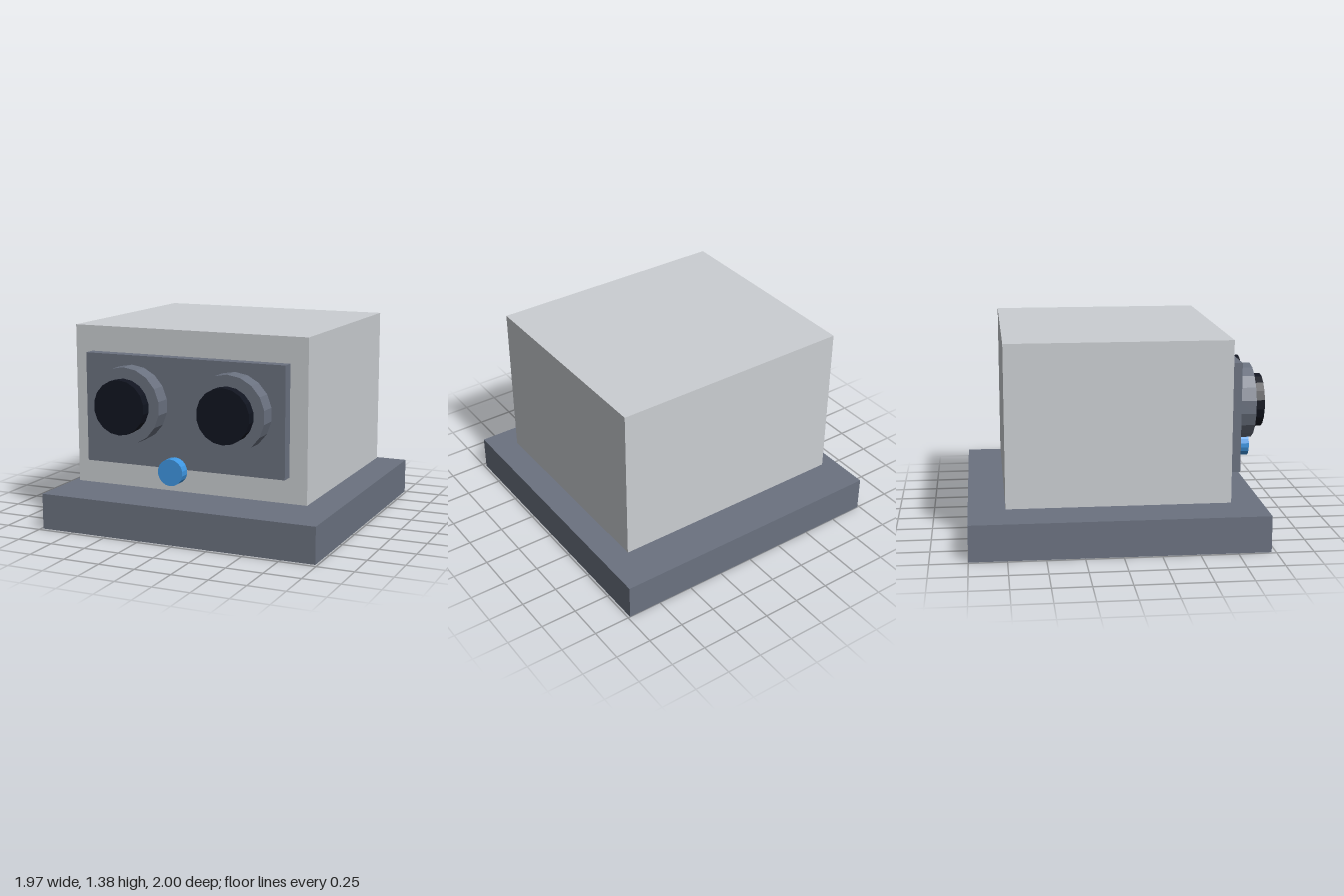
import * as THREE from 'three';

const paint = (color) => new THREE.MeshStandardMaterial({ color, flatShading: true });

export function createModel() {
  const model = new THREE.Group();
  model.name = 'binocularUnit';

  const slate = paint(0x6b7280);
  const shell = paint(0xcbced2);
  const glass = paint(0x111520);
  const blue = paint(0x3f98e4);

  // Box given by its half width and its y and z ranges
  function box(name, halfWidth, [y0, y1], [z0, z1], material) {
    const mesh = new THREE.Mesh(new THREE.BoxGeometry(halfWidth * 2, y1 - y0, z1 - z0), material);
    mesh.position.set(0, (y0 + y1) / 2, (z0 + z1) / 2);
    mesh.name = name;
    model.add(mesh);
  }

  // Faceted disc facing the front
  function disc(name, radius, x, y, [z0, z1], material) {
    const geometry = new THREE.CylinderGeometry(radius, radius, z1 - z0, 18).rotateX(Math.PI / 2);
    const mesh = new THREE.Mesh(geometry, material);
    mesh.position.set(x, y, (z0 + z1) / 2);
    mesh.name = name;
    model.add(mesh);
  }

  // Plinth, with the housing held just above it
  box('base', 0.985, [0, 0.245], [-1, 0.97], slate);
  box('housing', 0.835, [0.3, 1.38], [-0.755, 0.725], shell);
  box('frontPanel', 0.713, [0.473, 1.208], [0.725, 0.807], slate);

  // Pair of eyepieces
  for (const [side, x] of [['left', 0.368], ['right', -0.368]]) {
    disc(side + 'EyepieceRing', 0.256, x, 0.89, [0.807, 0.928], slate);
    disc(side + 'Lens', 0.182, x, 0.89, [0.928, 1], glass);
  }

  // Button standing clear of the panel
  disc('button', 0.088, 0, 0.495, [0.928, 1], blue);

  return model;
}
